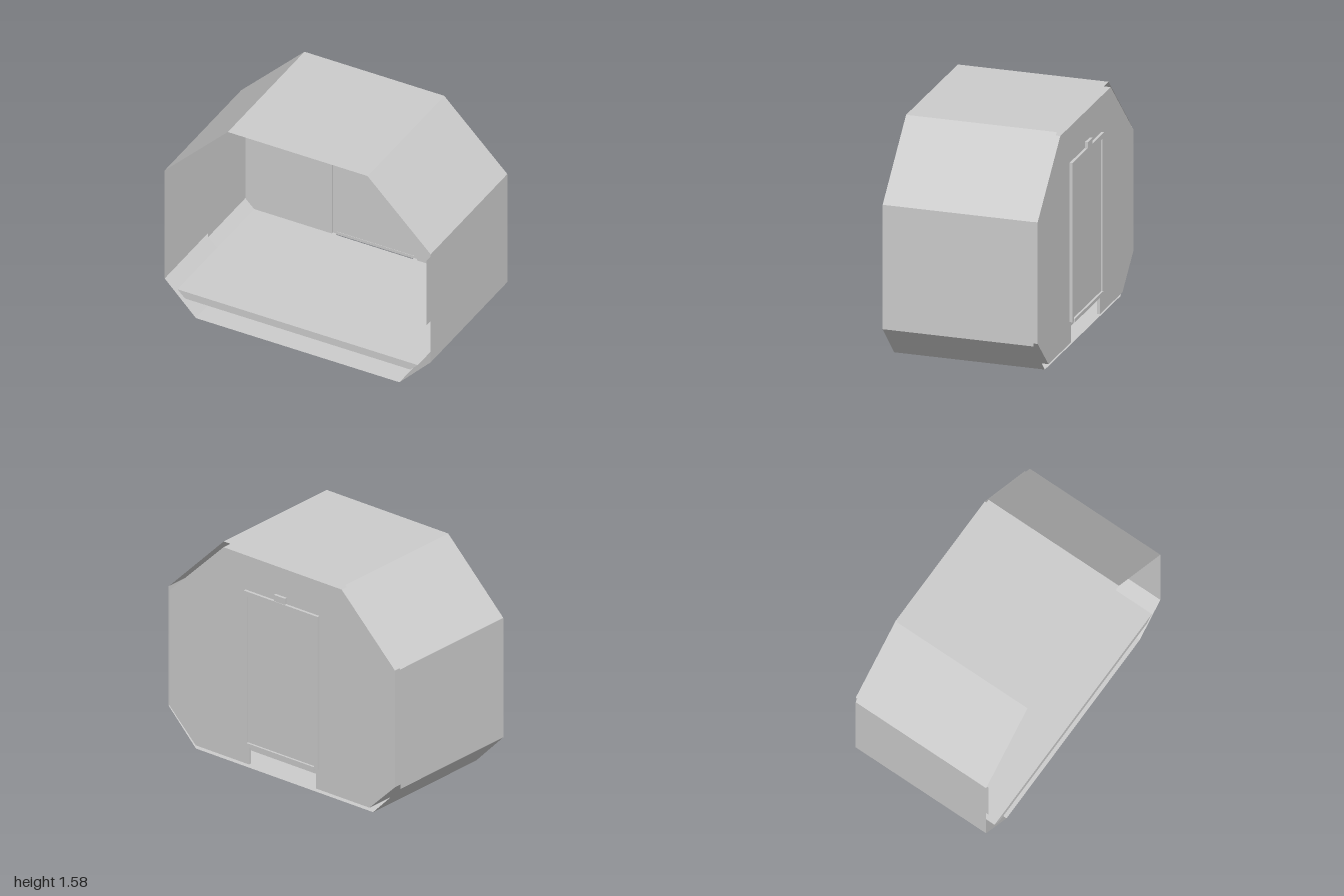
import * as THREE from 'three';

export function createModel() {
  const model = new THREE.Group();
  const grey = new THREE.MeshStandardMaterial({ color: 0xcccccc, side: THREE.DoubleSide });
  grey.name = 'lightGrey';
  const FRONT = 0.55, BACK = -0.5;

  const add = (name, geometry) => {
    const mesh = new THREE.Mesh(geometry, grey);
    mesh.name = name;
    model.add(mesh);
    return mesh;
  };

  // Thin sheet swept along z through counter-clockwise section points, flat per face
  const sheet = (name, pts, z0, z1) => {
    const pos = [];
    for (let i = 0; i < pts.length - 1; i++) {
      const [ax, ay] = pts[i], [bx, by] = pts[i + 1];
      pos.push(ax, ay, z1, ax, ay, z0, bx, by, z0, ax, ay, z1, bx, by, z0, bx, by, z1);
    }
    const g = new THREE.BufferGeometry();
    g.setAttribute('position', new THREE.Float32BufferAttribute(pos, 3));
    g.computeVertexNormals();
    return add(name, g);
  };

  // Solid slab extruded from an outline, between two depths
  const slab = (name, pts, z0, z1, hole) => {
    const toVec = p => new THREE.Vector2(p[0], p[1]);
    const shape = new THREE.Shape(pts.map(toVec));
    if (hole) shape.holes.push(new THREE.Path(hole.map(toVec)));
    const g = new THREE.ExtrudeGeometry(shape, { depth: z1 - z0, bevelEnabled: false });
    g.translate(0, 0, z0);
    return add(name, g);
  };

  const rect = (w, y0, y1) => [[-w, y0], [w, y0], [w, y1], [-w, y1]];
  const mirrored = half => [...half, ...half.map(([x, y]) => [-x, y]).reverse()];
  const closed = pts => [...pts, pts[0]];

  // Eight-sided outer shell, open at both ends
  const outer = mirrored([[0.765, 0], [1, 0.24], [1, 1.11], [0.525, 1.58]]);
  sheet('outerShell', closed(outer), BACK, FRONT);

  // Inner lining: full ring at the rear, tabs reaching to the front
  const innerHalf = [[0.75, 0.035], [0.97, 0.25], [0.97, 1.1], [0.51, 1.55]];
  sheet('innerLining', closed(mirrored(innerHalf)), BACK, 0.01);
  sheet('rightLiningTab', [[0.97, 0.53], [0.97, 1.05]], 0.01, FRONT);
  sheet('leftLiningTab', [[-0.97, 1.05], [-0.97, 0.53]], 0.01, FRONT);
  sheet('bottomLiningTab', [[-0.53, 0.035], [0.53, 0.035]], 0.01, FRONT);

  // Raised floor, its sides following the lower slopes
  slab('floor', mirrored([[0.847, 0.13], [0.903, 0.185]]), BACK, FRONT);

  // Rear wall with the doorway cut up from its bottom edge
  const doorway = [[0.32, 1.3], [0.32, 0.185], [0.29, 0.185], [0.29, 0.035]];
  slab('rearWall', mirrored([...doorway, ...innerHalf]), -0.52, BACK);

  // Door frame, recessed door leaf, sill and the small lamp above
  slab('doorFrame', rect(0.32, 0.185, 1.3), -0.54, -0.515, rect(0.29, 0.2, 1.265));
  slab('door', rect(0.29, 0.2, 1.265), -0.53, -0.518);
  slab('doorSill', rect(0.29, 0.175, 0.2), -0.545, -0.52);
  slab('doorLamp', rect(0.047, 1.31, 1.355), -0.553, -0.533);

  return model;
}
